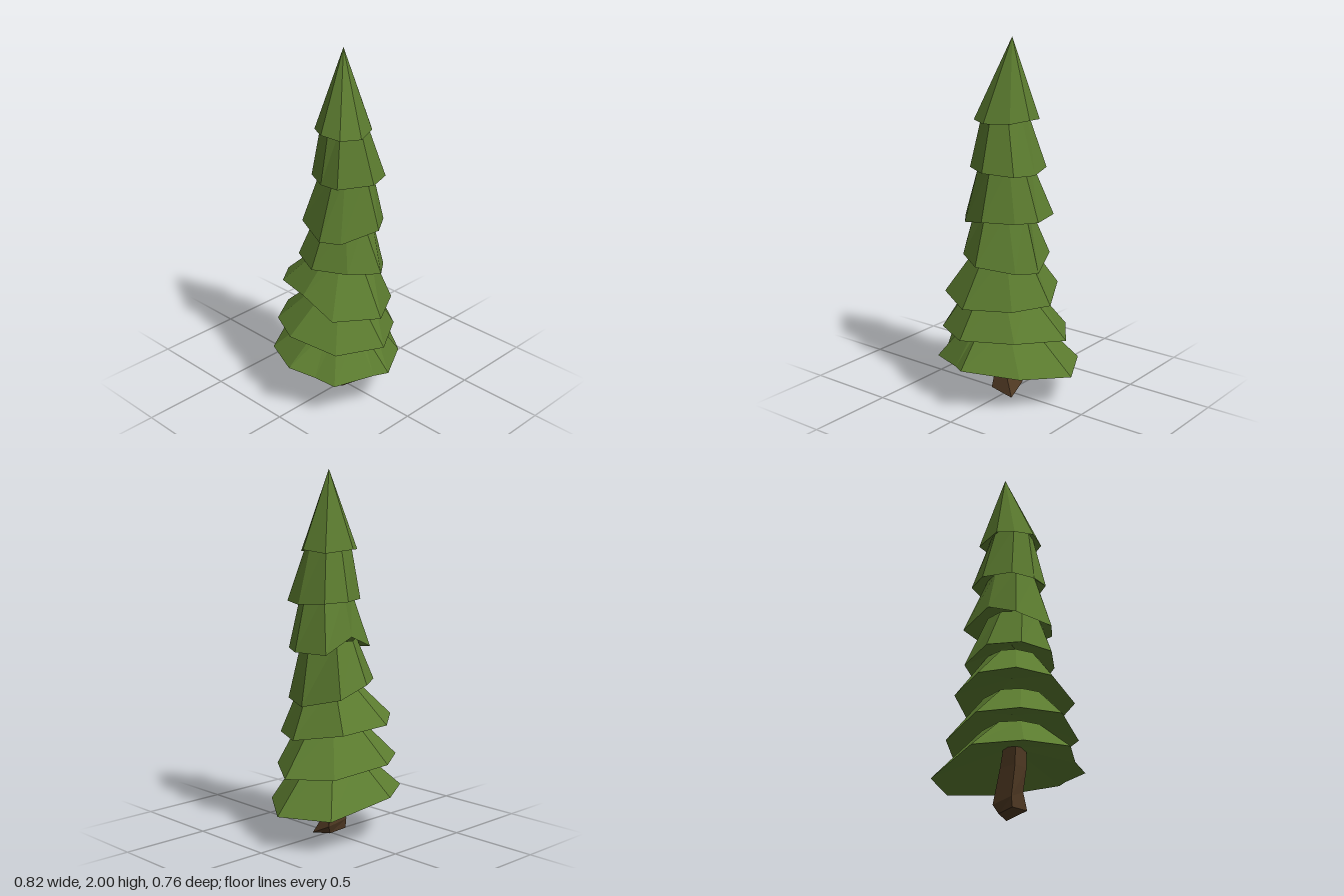
import * as THREE from 'three';

const foliage = new THREE.MeshStandardMaterial({ color: 0x5b7b2f });
foliage.name = 'pineGreen';
const bark = new THREE.MeshStandardMaterial({ color: 0x4e3822 });
bark.name = 'barkBrown';

// Flat-faced skin through rings of [x, y, z] points, closed below by a fan
function loft(rings, bottomCentre) {
  const pos = [];
  const tri = (a, b, c) => pos.push(...a, ...b, ...c);
  const n = rings[0].length;
  for (let i = 0; i < n; i++) {
    const j = (i + 1) % n;
    for (let k = 0; k < rings.length - 1; k++) {
      const low = rings[k], high = rings[k + 1];
      tri(low[j], low[i], high[i]);
      tri(low[j], high[i], high[j]);
    }
    tri(bottomCentre, rings[0][i], rings[0][j]);
  }
  const geometry = new THREE.BufferGeometry();
  geometry.setAttribute('position', new THREE.Float32BufferAttribute(pos, 3));
  geometry.computeVertexNormals();
  return geometry;
}

// One skirt of branches: uneven rim, hollow below, narrowing to a round neck at [x, y, z]
function makeTier(name, neck, radius, rim) {
  const top = rim.map(([x, , z]) => {
    const a = Math.atan2(z, x);
    return [neck[0] + radius * Math.cos(a), neck[1], neck[2] + radius * Math.sin(a)];
  });
  const meanY = rim.reduce((sum, p) => sum + p[1], 0) / rim.length;
  const mesh = new THREE.Mesh(loft([rim, top], [-0.02, meanY + 0.13, 0]), foliage);
  mesh.name = name;
  return mesh;
}

// Crooked four-sided trunk with a flared foot
function makeTrunk() {
  const rings = [
    [[0.07, 0.003, 0.06], [-0.07, 0.03, 0.06], [-0.07, 0.025, -0.055], [0.035, 0.013, -0.04]],
    [[0.01, 0.11, 0.028], [-0.07, 0.12, 0.03], [-0.07, 0.08, -0.062], [0.06, 0.06, -0.058]],
    [[-0.01, 0.25, 0.04], [-0.085, 0.25, 0.04], [-0.08, 0.25, -0.045], [0.022, 0.25, -0.045]],
    [[-0.01, 0.38, 0.04], [-0.085, 0.38, 0.04], [-0.08, 0.38, -0.04], [0, 0.38, -0.04]],
  ];
  const mesh = new THREE.Mesh(loft(rings, [-0.01, 0.018, 0.01]), bark);
  mesh.name = 'trunk';
  return mesh;
}

export function createModel() {
  const tree = new THREE.Group();
  tree.name = 'pineTree';
  tree.add(makeTrunk());

  // Rims run from +x round through +z
  tree.add(makeTier('branchTier1', [-0.03, 0.45, 0.01], 0.17, [
    [0.41, 0.187, -0.03], [0.24, 0.207, 0.21], [-0.03, 0.245, 0.378], [-0.1, 0.24, 0.335],
    [-0.31, 0.222, 0.24], [-0.34, 0.24, 0.12], [-0.412, 0.278, -0.01],
    [-0.31, 0.27, -0.245], [-0.085, 0.265, -0.38], [0.272, 0.187, -0.295],
  ]));
  tree.add(makeTier('branchTier2', [-0.03, 0.63, 0.02], 0.17, [
    [0.365, 0.385, -0.04], [0.2, 0.4, 0.205], [-0.05, 0.41, 0.36], [-0.285, 0.4, 0.225],
    [-0.38, 0.455, -0.03], [-0.28, 0.45, -0.235], [-0.09, 0.44, -0.355], [0.21, 0.39, -0.255],
  ]));
  tree.add(makeTier('branchTier3', [-0.01, 0.87, 0.02], 0.14, [
    [0.28, 0.575, -0.01], [0.18, 0.575, 0.2], [-0.05, 0.58, 0.335], [-0.285, 0.6, 0.2],
    [-0.3, 0.69, -0.005], [-0.245, 0.68, -0.225], [-0.09, 0.655, -0.345], [0.15, 0.62, -0.26],
  ]));
  tree.add(makeTier('branchTier4', [-0.02, 1.09, 0.02], 0.15, [
    [0.207, 0.745, 0], [0.165, 0.77, 0.15], [0, 0.815, 0.285], [-0.16, 0.835, 0.19],
    [-0.27, 0.848, 0.03], [-0.205, 0.865, -0.135], [-0.05, 0.862, -0.235], [0.125, 0.8, -0.215],
  ]));
  tree.add(makeTier('branchTier5', [0, 1.35, 0.025], 0.135, [
    [0.225, 1.04, 0.03], [0.16, 1.045, 0.15], [0.015, 1.055, 0.25], [-0.175, 1.005, 0.155],
    [-0.245, 1.015, 0.065], [-0.17, 1.05, -0.14], [0, 1.12, -0.17], [0.185, 1.04, -0.165],
  ]));
  tree.add(makeTier('branchTier6', [-0.01, 1.62, 0.015], 0.115, [
    [0.2, 1.292, 0.03], [0.16, 1.3, 0.16], [0, 1.312, 0.225], [-0.165, 1.305, 0.12],
    [-0.175, 1.305, 0.01], [-0.12, 1.31, -0.115], [0.035, 1.31, -0.18], [0.16, 1.305, -0.13],
  ]));
  tree.add(makeTier('treeTop', [0.017, 2, -0.013], 0, [
    [0.165, 1.58, 0.03], [0.1, 1.565, 0.115], [-0.035, 1.56, 0.168], [-0.14, 1.565, 0.115],
    [-0.172, 1.58, 0.01], [-0.12, 1.575, -0.09], [-0.035, 1.58, -0.145], [0.13, 1.565, -0.105],
  ]));
  return tree;
}
